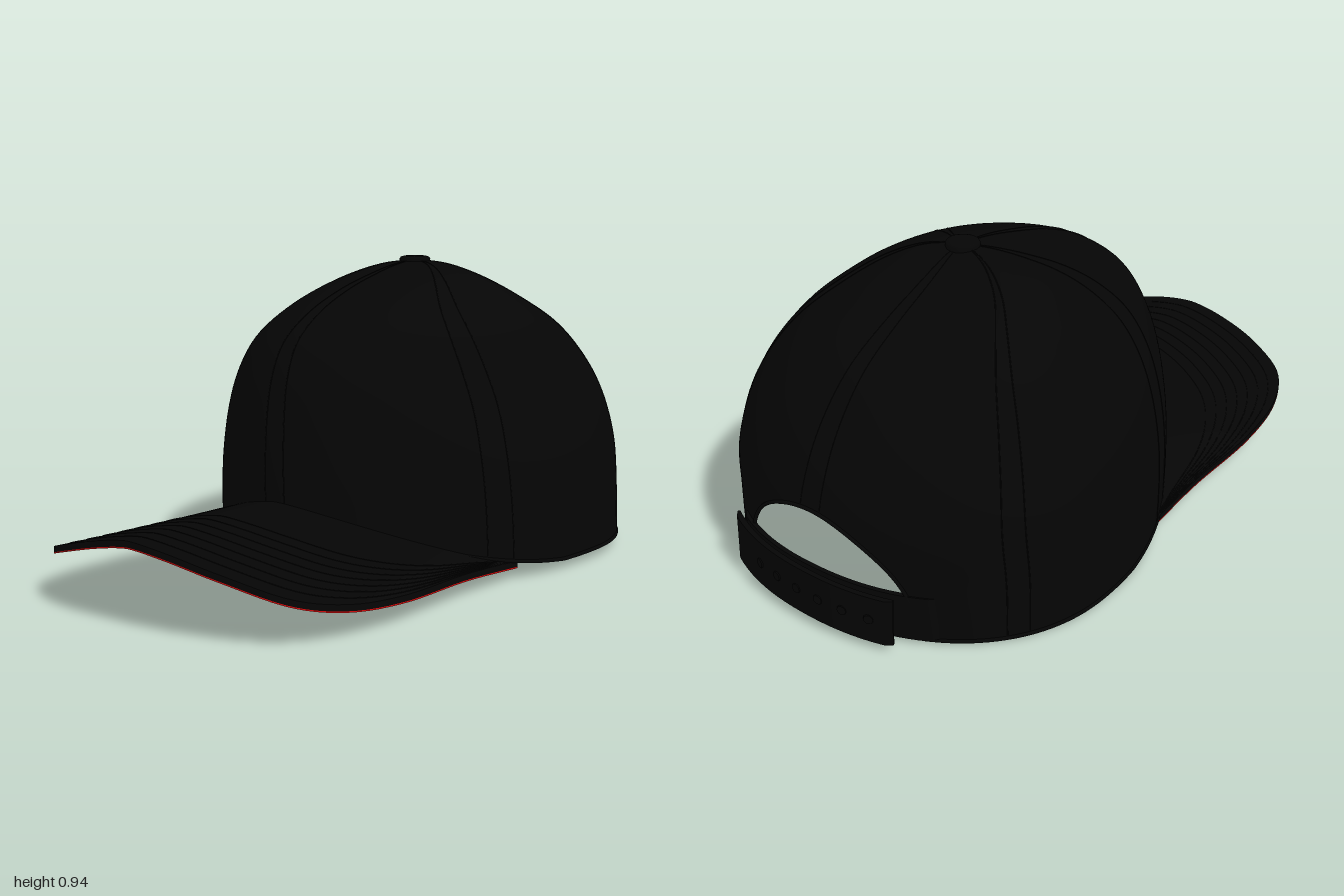
import * as THREE from 'three';

const black = new THREE.MeshStandardMaterial({ color: 0x050505, side: THREE.DoubleSide });
black.name = 'black cloth';
const red = new THREE.MeshStandardMaterial({ color: 0xd60606, side: THREE.DoubleSide });
red.name = 'red lining';

const V = (x, y, z) => new THREE.Vector3(x, y, z);

// Crown levels: height, front z, back z, half width, z of the widest point
const levels = [
  [0, 0.41, -0.93, 0.597, -0.4], [0.2, 0.41, -0.94, 0.592, -0.4], [0.35, 0.408, -0.95, 0.576, -0.4],
  [0.5, 0.395, -0.905, 0.54, -0.4], [0.62, 0.37, -0.835, 0.485, -0.39], [0.72, 0.315, -0.74, 0.415, -0.38],
  [0.8, 0.2, -0.61, 0.33, -0.36], [0.86, 0.05, -0.49, 0.25, -0.34], [0.9, -0.1, -0.41, 0.17, -0.325],
  [0.922, -0.21, -0.36, 0.095, -0.315], [0.932, -0.31, -0.31, 0, -0.31],
];
const spline = (pts) => new THREE.CatmullRomCurve3(pts, false, 'catmullrom', 0.5);
const lengthCurve = spline(levels.map((l) => V(l[1], l[0], l[2])));
const widthCurve = spline(levels.map((l) => V(l[3], l[0], l[4])));

// The cap sits slightly turned and tilted
const skew = (p) => V(p.x - 0.03 * p.y - 0.042 * (p.z + 0.4), p.y + 0.025 * p.x, p.z);

// Crown surface: t is the angle from the front, s runs from rim to top; the back is a little squarer
function crownPoint(t, s, off = 0) {
  const a = lengthCurve.getPoint(s), b = widthCurve.getPoint(s);
  const front = Math.cos(t) > 0, n = front ? 2 : 2.2;
  const c = Math.pow(Math.max(0, 1 - Math.pow(Math.abs(Math.sin(t)), n)), 1 / n);
  const z = front ? b.z + (a.x - b.z + off) * c : b.z - (b.z - a.z + off) * c;
  return V((b.x + off) * Math.sin(t), a.y, z);
}
function levelAt(y) {
  let lo = 0, hi = 1;
  for (let i = 0; i < 24; i++) {
    const m = (lo + hi) / 2;
    if (lengthCurve.getPoint(m).y < y) lo = m; else hi = m;
  }
  return lo;
}

// Brim arch, and the lower edge of the crown with its rear opening
const archY = (x) => 0.236 - 0.186 * Math.pow(Math.abs(x) / 0.53, 1.55);
function rimY(t) {
  const x = 0.592 * Math.sin(t);
  if (Math.cos(t) > 0) return Math.max(0.022, archY(x));
  const q = x / 0.31;
  return Math.abs(q) < 1 && Math.cos(t) < -0.5 ? 0.03 + 0.33 * Math.sqrt(1 - q * q) : 0.022;
}

// Grid surface from a function of two parameters in 0..1
function sheet(fn, nu, nv) {
  const pos = [], idx = [];
  for (let i = 0; i <= nu; i++)
    for (let j = 0; j <= nv; j++) pos.push(...skew(fn(i / nu, j / nv)).toArray());
  for (let i = 0; i < nu; i++)
    for (let j = 0; j < nv; j++) {
      const a = i * (nv + 1) + j, b = a + nv + 1;
      idx.push(a, b, a + 1, b, b + 1, a + 1);
    }
  const g = new THREE.BufferGeometry();
  g.setAttribute('position', new THREE.Float32BufferAttribute(pos, 3));
  g.setIndex(idx);
  g.computeVertexNormals();
  return g;
}

// Thin cord through sampled points
function cord(fn, n, r, closed = false) {
  const pts = [];
  for (let i = 0; i < n + (closed ? 0 : 1); i++) pts.push(skew(fn(i / n)));
  return new THREE.TubeGeometry(new THREE.CatmullRomCurve3(pts, closed), n * 2, r, 5, closed);
}

// Strap with a rectangular section that follows the back of the crown
function strap(x0, x1, off0, off1, y0, y1, thick) {
  const corners = [[0, 0], [0, 1], [1, 1], [1, 0]], order = [0, 1, 1, 2, 2, 3, 3, 0];
  return sheet((u, v) => {
    const k = corners[order[Math.round(v * 7)]];
    const t = Math.PI - Math.asin((x0 + (x1 - x0) * u) / 0.592);
    const end = u === 0 || u === 1 ? 0.5 : 1;
    const p = crownPoint(t, levelAt(0.1), off0 + (off1 - off0) * u + k[0] * thick * end);
    p.y = y0 + (y1 - y0) * k[1];
    return p;
  }, 28, 7);
}

export function createModel() {
  const cap = new THREE.Group();
  cap.name = 'cap';
  const add = (name, geo, mat) => {
    const m = new THREE.Mesh(geo, mat);
    m.name = name;
    cap.add(m);
    return m;
  };
  const turn = (u) => -Math.PI + 2 * Math.PI * u;

  // Crown and its bound edge
  add('crown', sheet((u, v) => {
    const s0 = levelAt(rimY(turn(u)));
    return crownPoint(turn(u), s0 + (1 - s0) * v);
  }, 220, 44), black);
  add('edgeBinding', cord((u) => crownPoint(turn(u), levelAt(rimY(turn(u)))), 220, 0.006, true), black);

  // Sweatband inside, open at the back
  add('sweatband', sheet((u, v) => {
    const t = -2.5 + 5 * u;
    return crownPoint(t, levelAt(rimY(t) + 0.005 + 0.13 * v), -0.016);
  }, 96, 4), black);

  // Panel seams with twin stitch lines
  for (let i = 0; i < 6; i++) {
    for (const side of [-1, 1]) {
      const t = (i * Math.PI) / 3 + side * 0.06;
      const s0 = levelAt(rimY(t) + 0.01);
      add('panelStitch', cord((u) => crownPoint(t, s0 + (0.96 - s0) * u), 24, 0.0018), black);
    }
  }

  // Top button
  const button = add('button', new THREE.LatheGeometry([
    [0.05, -0.015], [0.05, 0.004], [0.046, 0.01], [0.035, 0.013], [0, 0.014],
  ].map((p) => new THREE.Vector2(...p)), 24), black);
  button.position.copy(skew(V(0, 0.931, -0.31)));

  // Brim: spans from the crown front to a rounded outline, its sides rising towards the tip
  const half = [[0.53, -0.06], [0.522, 0.2], [0.528, 0.5], [0.503, 0.72], [0.43, 0.87], [0.28, 0.955], [0.13, 0.988]];
  const outline = spline([
    ...half.map(([x, z]) => V(-x, 0, z)), V(0, 0, 0.995),
    ...half.slice().reverse().map(([x, z]) => V(x, 0, z)),
  ]);
  const brimPoint = (u, v, lift) => {
    const t = (2 * u - 1) * 1.13;
    const p = crownPoint(t, levelAt(rimY(t)), -0.012).lerp(outline.getPoint(u), v);
    const w = p.x / 0.53;
    p.y = archY(p.x) + lift + w * w * (0.06 * p.z - 0.012 - w * (0.008 + 0.02 * p.z));
    return p;
  };
  add('brimTop', sheet((u, v) => brimPoint(u, v, 0.018), 80, 16), black);
  add('brimUnderside', sheet((u, v) => brimPoint(u, v, -0.004), 80, 16), red);
  add('brimEdge', sheet((u, v) => brimPoint(u, 1, 0.018 * v), 80, 1), black);
  add('brimLiningEdge', sheet((u, v) => brimPoint(u, 1, -0.004 + 0.004 * v), 80, 1), red);
  for (let i = 0; i < 7; i++) {
    const v = 0.4 + i * 0.085;
    add('brimStitch', cord((u) => brimPoint(0.02 + 0.96 * u, v, 0.018), 40, 0.0016), black);
  }

  // Adjustable rear strap: two overlapping lengths and a row of snaps
  add('innerStrap', strap(-0.36, 0.34, -0.008, 0, 0.022, 0.165, 0.014), black);
  add('outerStrap', strap(-0.26, 0.33, 0.045, 0.025, 0.03, 0.178, 0.016), black);
  for (let i = 0; i < 6; i++) {
    const x = -0.2 + i * 0.075;
    const t = Math.PI - Math.asin(x / 0.592);
    const snap = add('snap', new THREE.CylinderGeometry(0.014, 0.018, 0.01, 12), black);
    snap.geometry.rotateX(Math.PI / 2).rotateY(t);
    const p = crownPoint(t, levelAt(0.1), 0.059 - 0.034 * (x + 0.26));
    snap.position.copy(skew(V(p.x, 0.105, p.z)));
  }
  return cap;
}
